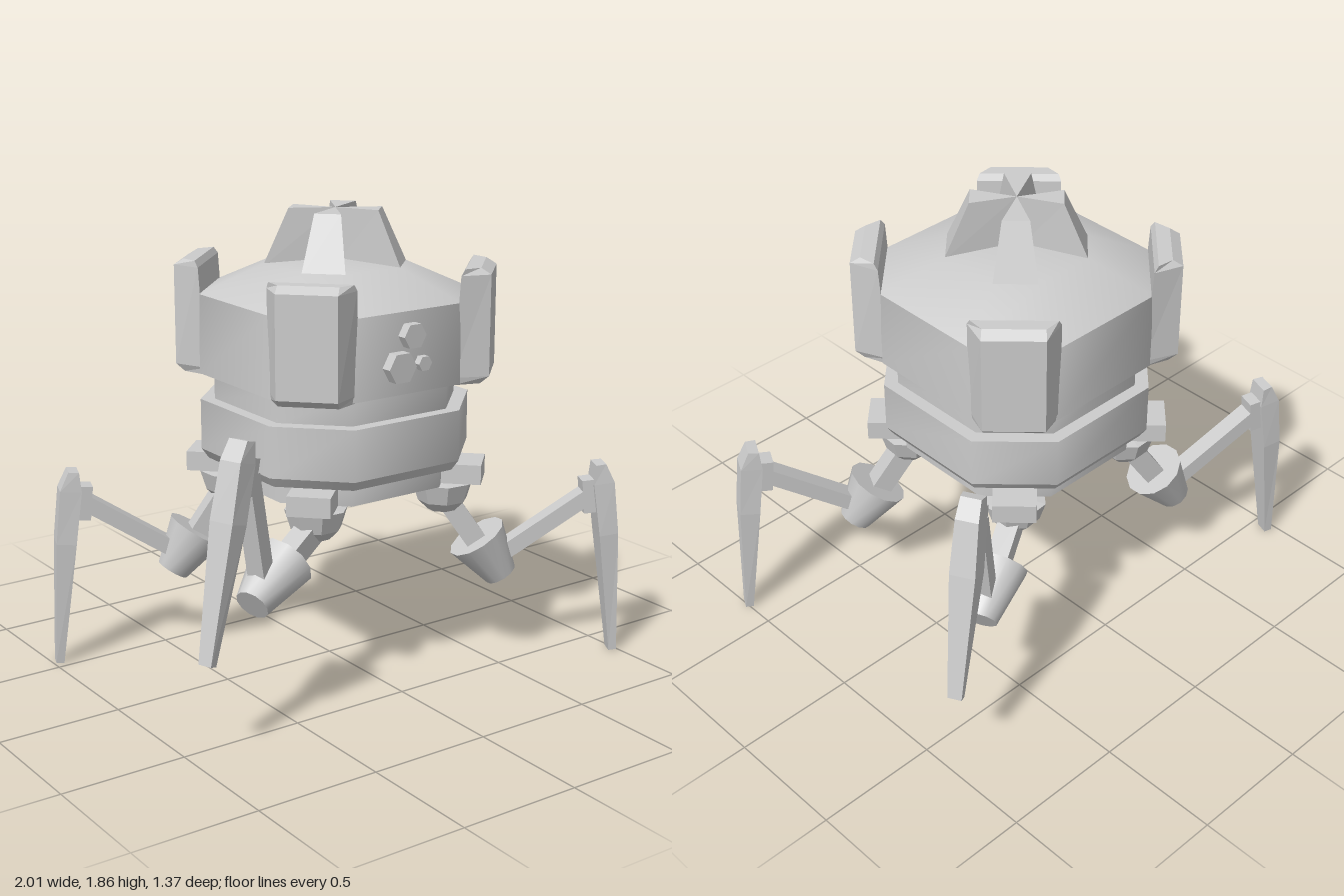
import * as THREE from 'three';
import { toCreasedNormals } from 'three/addons/utils/BufferGeometryUtils.js';

const CX = 0.03; // body axis in x
const flat = new THREE.MeshStandardMaterial({ color: 0xcccccc, flatShading: true });
const smooth = new THREE.MeshStandardMaterial({ color: 0xcccccc });

function add(parent, name, geometry, material = flat) {
  const mesh = new THREE.Mesh(geometry, material);
  mesh.name = name;
  parent.add(mesh);
  return mesh;
}

// Closed solid through rings of [x, y, z] points, lowest ring first
function loft(rings) {
  const pos = [];
  const n = rings[0].length;
  const tri = (...pts) => pts.forEach((p) => pos.push(...p));
  for (let r = 0; r + 1 < rings.length; r++) {
    for (let i = 0; i < n; i++) {
      const j = (i + 1) % n, a = rings[r], b = rings[r + 1];
      tri(a[i], a[j], b[j]);
      tri(a[i], b[j], b[i]);
    }
  }
  const lo = rings[0], hi = rings[rings.length - 1];
  for (let i = 1; i + 1 < n; i++) {
    tri(lo[0], lo[i + 1], lo[i]);
    tri(hi[0], hi[i], hi[i + 1]);
  }
  const g = new THREE.BufferGeometry();
  g.setAttribute('position', new THREE.Float32BufferAttribute(pos, 3));
  g.computeVertexNormals();
  return g;
}

// Square ring with cut corners
function octagon(half, y, c = half * 0.52) {
  return [[half, c], [half, -c], [c, -half], [-c, -half], [-half, -c], [-half, c], [-c, half], [c, half]]
    .map(([x, z]) => [x, y, z]);
}

// Symmetrical four-sided ring: inner and outer x with their half widths
function quad(y, xIn, wIn, xOut, wOut) {
  return [[xOut, y, wOut], [xOut, y, -wOut], [xIn, y, -wIn], [xIn, y, wIn]];
}

// Places a part made along y between two points of the leg plane
function between(mesh, p, q) {
  mesh.position.set((p[0] + q[0]) / 2, (p[1] + q[1]) / 2, 0);
  mesh.rotation.z = Math.atan2(q[1] - p[1], q[0] - p[0]) - Math.PI / 2;
  return mesh;
}
const dist = (p, q) => Math.hypot(q[0] - p[0], q[1] - p[1]);

// Leg poses as [distance from hub, height]
const PLANTED = { wide: [0.145, 0.52], narrow: [0.25, 0.355], elbow: [0.2, 0.42], knee: [0.63, 0.7], top: [0.655, 0.82], foot: [0.73, 0] };
const RAISED = { wide: [0.23, 0.62], narrow: [0.43, 0.51], elbow: [0.36, 0.55], knee: [0.455, 1.02], top: [0.49, 1.16], foot: [0.71, 0.37] };

function makeLeg(name, sx, sz, degrees, pose) {
  const leg = new THREE.Group();
  leg.name = name;
  const a = THREE.MathUtils.degToRad(degrees);
  leg.position.set(CX + sx * 0.31, 0, sz * 0.31);
  leg.rotation.y = -Math.atan2(sz * Math.sin(a), sx * Math.cos(a));

  // Faceted hip under the body
  const hip = new THREE.LatheGeometry([[0, 0.645], [0.06, 0.65], [0.1, 0.69], [0.125, 0.77], [0, 0.785]]
    .map(([x, y]) => new THREE.Vector2(x, y)), 8);
  add(leg, 'hip', hip);

  // Upper arm, elbow cup and thin strut
  const hipPoint = [0.01, 0.7];
  between(add(leg, 'upperArm', new THREE.BoxGeometry(0.085, dist(hipPoint, pose.elbow), 0.085)), hipPoint, pose.elbow);
  const cup = toCreasedNormals(new THREE.CylinderGeometry(0.125, 0.068, dist(pose.wide, pose.narrow), 12), 0.7);
  between(add(leg, 'elbowCup', cup, smooth), pose.narrow, pose.wide);
  between(add(leg, 'strut', new THREE.BoxGeometry(0.065, dist(pose.elbow, pose.knee), 0.075)), pose.elbow, pose.knee);

  // Tapered blade shin with knee block
  const shin = new THREE.Group();
  shin.name = 'shin';
  shin.position.set(pose.foot[0], pose.foot[1], 0);
  shin.rotation.z = Math.atan2(pose.top[1] - pose.foot[1], pose.top[0] - pose.foot[0]) - Math.PI / 2;
  add(shin, 'blade', loft([
    quad(0, -0.015, 0.028, 0.018, 0.028),
    quad(0.52, -0.035, 0.057, 0.045, 0.05),
    quad(0.74, -0.045, 0.05, 0.042, 0.045),
    quad(0.82, -0.03, 0.045, 0.012, 0.04),
  ]));
  add(shin, 'kneeBlock', new THREE.BoxGeometry(0.07, 0.14, 0.075)).position.set(-0.055, 0.69, 0);
  leg.add(shin);
  return leg;
}

export function createModel() {
  const model = new THREE.Group();
  model.name = 'walkerRobot';
  const body = new THREE.Group();
  body.name = 'body';
  body.position.x = CX;
  model.add(body);

  // Stacked eight-sided body
  const tier = (name, rings) => add(body, name,
    toCreasedNormals(loft(rings.map(([h, y]) => octagon(h, y))), 0.85), smooth);
  tier('basePlate', [[0.001, 0.83], [0.41, 0.78], [0.41, 0.86]]);
  tier('ringChamfer', [[0.455, 0.86], [0.48, 0.9]]);
  tier('lowerRing', [[0.48, 0.9], [0.48, 1.105]]);
  tier('neck', [[0.43, 1.1], [0.43, 1.22]]);
  tier('shell', [[0.48, 1.21], [0.48, 1.53]]);
  tier('roof', [[0.48, 1.53], [0.25, 1.645], [0.01, 1.66]]);

  // Parts repeated on the four diagonals
  for (let k = 0; k < 4; k++) {
    const corner = new THREE.Group();
    corner.name = 'corner' + (k + 1);
    corner.rotation.y = Math.PI / 4 + k * Math.PI / 2;
    body.add(corner);
    add(corner, 'armourPlate', loft([
      quad(1.205, 0.49, 0.165, 0.59, 0.115),
      quad(1.235, 0.49, 0.17, 0.625, 0.117),
      quad(1.635, 0.515, 0.17, 0.625, 0.117),
      quad(1.66, 0.53, 0.16, 0.585, 0.115),
    ]));
    add(corner, 'roofFin', loft([
      [[0, 1.63, 0], [0.275, 1.63, 0.087], [0.275, 1.63, -0.087]],
      [[0, 1.86, 0], [0.177, 1.86, 0.052], [0.177, 1.86, -0.052]],
    ]));
    add(corner, 'legMount', new THREE.BoxGeometry(0.24, 0.08, 0.17)).position.set(0.48, 0.82, 0);
  }

  // Hexagonal sensors on the front
  for (const [x, y, r, depth] of [[0, 1.44, 0.052, 0.04], [-0.06, 1.325, 0.064, 0.045], [0.057, 1.325, 0.031, 0.03]]) {
    const g = new THREE.CylinderGeometry(r, r, depth + 0.02, 6);
    g.rotateY(Math.PI / 6 + Math.PI / 3 - Math.PI / 2 + Math.PI / 2).rotateX(Math.PI / 2);
    add(body, 'sensor', g).position.set(x, y, 0.47 + depth / 2);
  }

  model.add(
    makeLeg('frontLeftLeg', 1, 1, 27.5, PLANTED),
    makeLeg('frontRightLeg', -1, 1, 22, RAISED),
    makeLeg('backLeftLeg', 1, -1, 28, RAISED),
    makeLeg('backRightLeg', -1, -1, 20, PLANTED),
  );
  return model;
}
